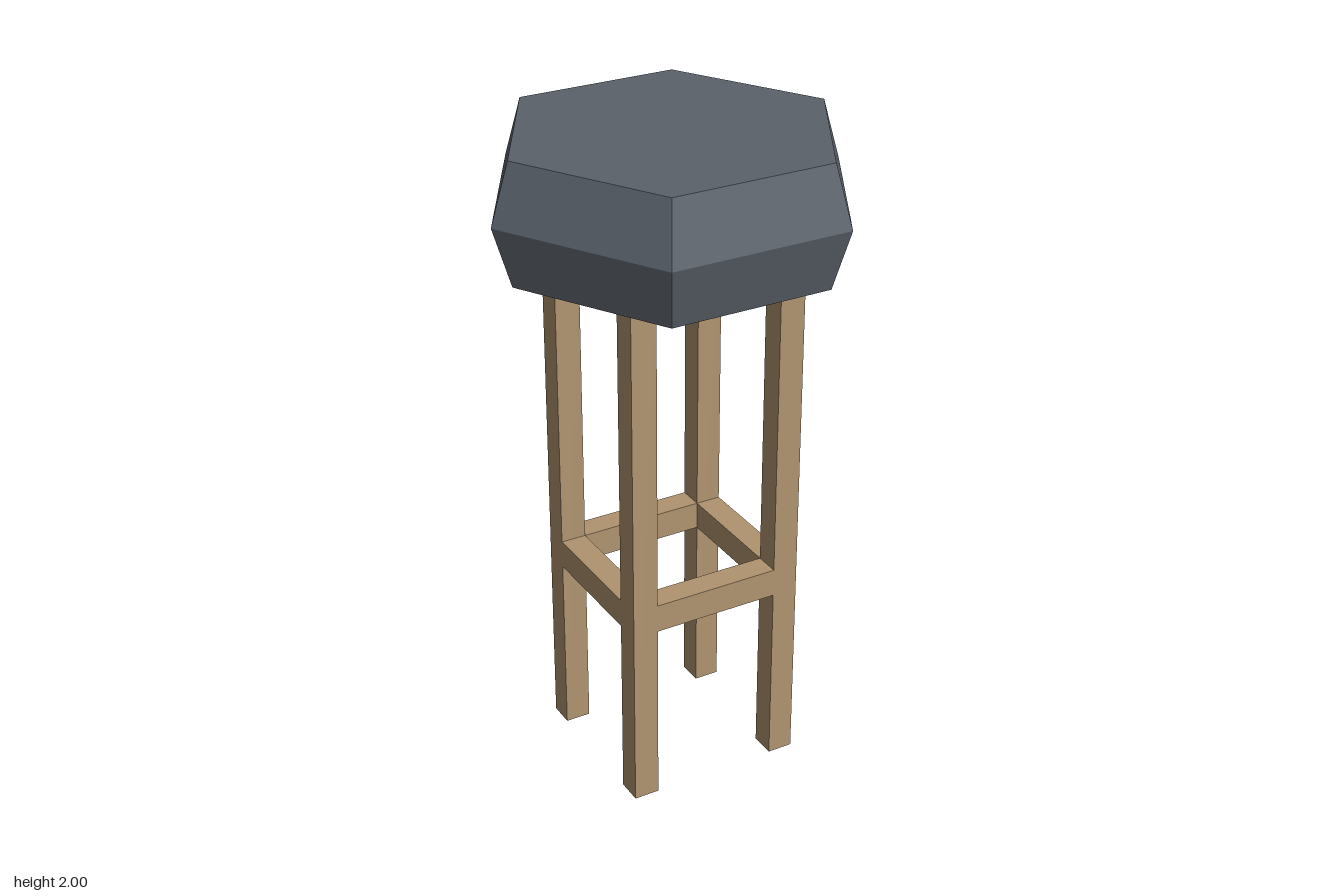
import * as THREE from 'three';

export function createModel() {
  const group = new THREE.Group();
  const wood = new THREE.MeshStandardMaterial({ color: 0xb09470, flatShading: true });
  wood.name = 'wood';
  const cushion = new THREE.MeshStandardMaterial({ color: 0x5a626a, flatShading: true });
  cushion.name = 'slate cushion';

  const add = (name, geometry, material, x, y, z) => {
    const mesh = new THREE.Mesh(geometry, material);
    mesh.name = name;
    mesh.position.set(x, y, z);
    group.add(mesh);
  };

  // Hexagonal seat, widest at mid height, with corners on the x axis
  const profile = [[0, 1.637], [0.495, 1.637], [0.551, 1.82], [0.495, 2], [0, 2]]
    .map(([r, y]) => new THREE.Vector2(r, y));
  const seat = new THREE.LatheGeometry(profile, 6, Math.PI / 2);
  seat.scale(1, 1, 1.02);
  add('seat', seat, cushion, 0, 0, 0);

  // Four square legs, joined by rails flush with their outer faces
  const thick = 0.079, legX = 0.2375, legZ = 0.2275, legHeight = 1.637;
  const railHeight = 0.088, railY = 0.624;
  const legGeometry = new THREE.BoxGeometry(thick, legHeight, thick);
  const crossRail = new THREE.BoxGeometry(2 * legX - thick, railHeight, thick);
  const sideRail = new THREE.BoxGeometry(thick, railHeight, 2 * legZ - thick);
  for (const s of [-1, 1]) {
    for (const t of [-1, 1]) {
      add(`${t > 0 ? 'front' : 'back'}${s > 0 ? 'Left' : 'Right'}Leg`,
        legGeometry, wood, s * legX, legHeight / 2, t * legZ);
    }
    add(s > 0 ? 'frontRail' : 'backRail', crossRail, wood, 0, railY, s * legZ);
    add(s > 0 ? 'leftRail' : 'rightRail', sideRail, wood, s * legX, railY, 0);
  }
  return group;
}
